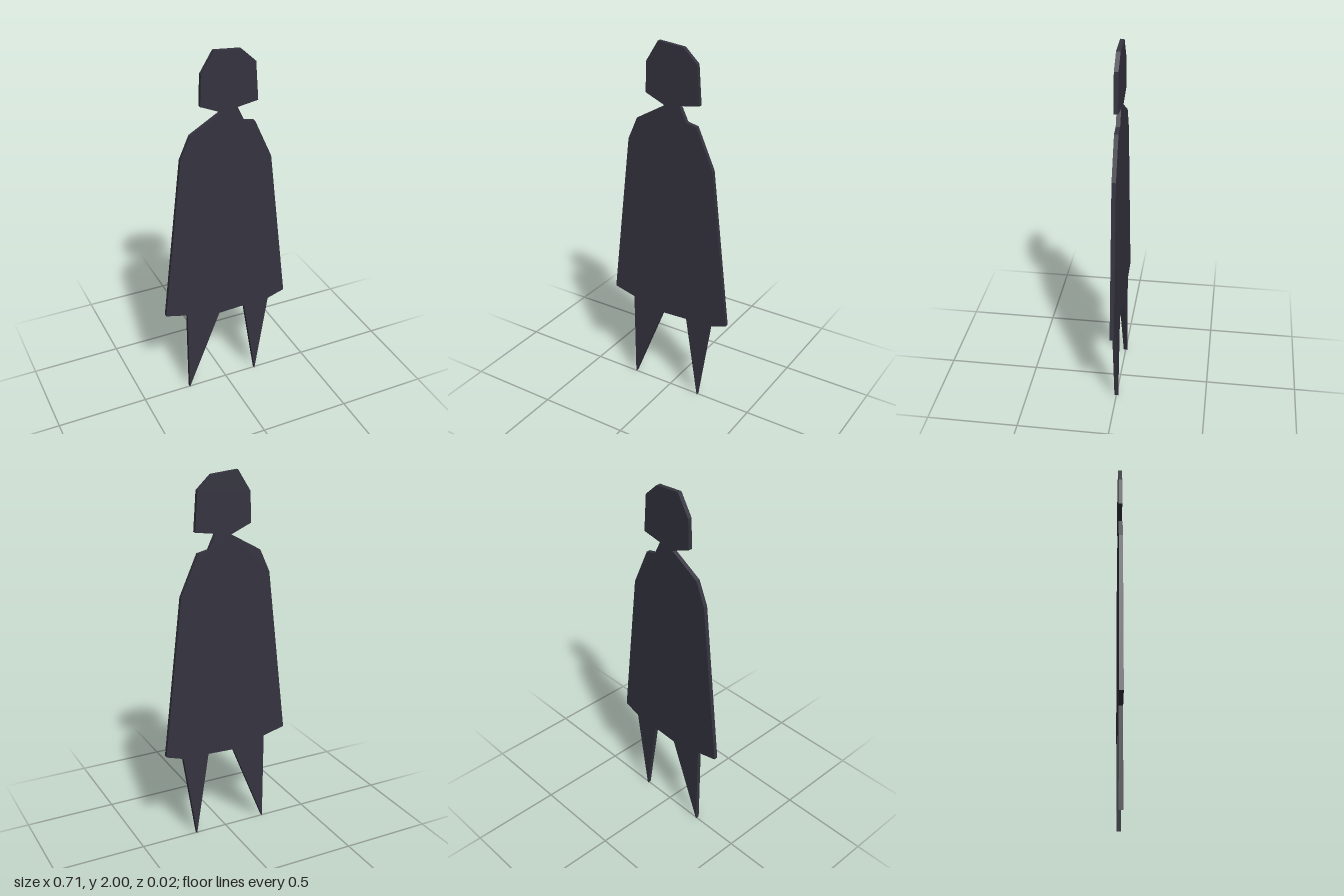
import * as THREE from 'three';

export function createModel() {
  const model = new THREE.Group();
  model.name = 'cloakedFigureCutout';

  const charcoal = new THREE.MeshStandardMaterial({ color: 0x353440 });
  charcoal.name = 'charcoal';

  // Outline segments, running clockwise from the top of the head
  const headLeft = [[-0.065, 2], [0.08, 1.987], [0.157, 1.915], [0.172, 1.71], [0.06, 1.692]];
  const cloakLeft = [[0.098, 1.613], [0.157, 1.6], [0.253, 1.386], [0.355, 0.516], [0.257, 0.484]];
  const legs = [[0.182, 0], [0.108, 0.48], [-0.043, 0.473], [-0.23, 0.005]];
  const cloakRight = [[-0.233, 0.515], [-0.357, 0.547], [-0.25, 1.46], [-0.195, 1.583]];
  const headRight = [[-0.028, 1.68], [-0.14, 1.728], [-0.134, 1.89]];

  const outline = [...headLeft, ...cloakLeft, ...legs, ...cloakRight, ...headRight]
    .map(([x, y]) => new THREE.Vector2(x, y));

  // One flat sheet cut to the outline, centred on z = 0
  const depth = 0.022;
  const geometry = new THREE.ExtrudeGeometry(new THREE.Shape(outline), { depth, bevelEnabled: false });
  geometry.translate(0, 0, -depth / 2);

  const silhouette = new THREE.Mesh(geometry, charcoal);
  silhouette.name = 'silhouette';
  model.add(silhouette);

  return model;
}
